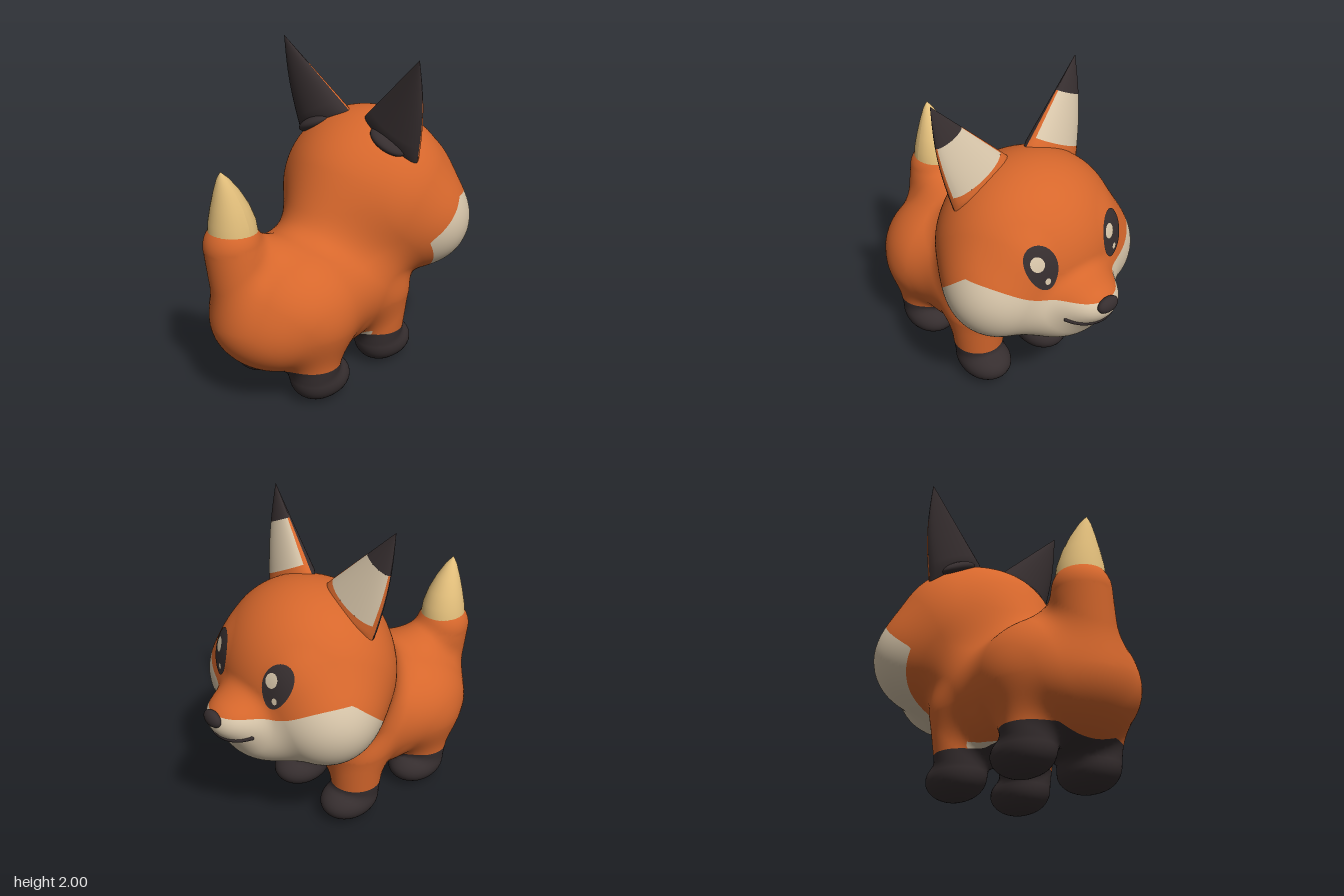
import * as THREE from 'three';

const material = (name, color) => Object.assign(new THREE.MeshStandardMaterial({ color }), { name });
const orange = material('orange fur', 0xd6672c);
const pale = material('pale fur', 0xd8c6aa);
const dark = material('dark fur', 0x362e2f);
const cream = material('cream tail', 0xe4c07c);

// ---- soft body: rounded masses blended into one skin ----
function ellipsoid(x, y, z, rx, ry, rz) {
  const k0 = Math.hypot(x / rx, y / ry, z / rz);
  const k1 = Math.hypot(x / (rx * rx), y / (ry * ry), z / (rz * rz));
  return k1 < 1e-6 ? -Math.min(rx, ry, rz) : k0 * (k0 - 1) / k1;
}
function blend(a, b, k) {
  const h = Math.max(k - Math.abs(a - b), 0) / k;
  return Math.min(a, b) - h * h * k * 0.25;
}
function capsule(x, y, z, a, b, ra, rb) {
  const dx = b[0] - a[0], dy = b[1] - a[1], dz = b[2] - a[2];
  let t = ((x - a[0]) * dx + (y - a[1]) * dy + (z - a[2]) * dz) / (dx * dx + dy * dy + dz * dz);
  t = Math.min(1, Math.max(0, t));
  return Math.hypot(x - a[0] - t * dx, y - a[1] - t * dy, z - a[2] - t * dz) - ra - (rb - ra) * t;
}
function skin(x, y, z) {
  const w = Math.abs(z);
  // torso, chest, rump and belly
  let d = blend(ellipsoid(x + 0.48, y - 0.57, z, 0.46, 0.39, 0.475), ellipsoid(x + 0.04, y - 0.61, z, 0.34, 0.41, 0.435), 0.18);
  d = blend(d, ellipsoid(x + 0.6, y - 0.51, z, 0.375, 0.32, 0.4), 0.03);
  d = blend(d, ellipsoid(x + 0.25, y - 0.46, z, 0.45, 0.275, 0.38), 0.03);
  // tail root, with a slope down to the back
  let tail = capsule(x, y, z, [-0.76, 0.55, -0.04], [-0.815, 1.0, -0.1], 0.2, 0.17);
  tail = blend(tail, capsule(x, y, z, [-0.79, 0.94, -0.09], [-0.58, 0.78, -0.03], 0.155, 0.2), 0.03);
  d = blend(d, tail, 0.08);
  // nape
  d = blend(d, capsule(x, y, z, [0.05, 1.15, 0], [-0.19, 0.8, 0], 0.27, 0.27), 0.1);
  // head, brows, cheeks, jaw and snout
  let h = ellipsoid(x - 0.255, y - 1.05, z, 0.5, 0.55, 0.57);
  h = blend(h, ellipsoid(x - 0.4, y - 1.15, w - 0.2, 0.3, 0.27, 0.28), 0.03);
  h = blend(h, ellipsoid(x - 0.38, y - 0.93, w - 0.3, 0.32, 0.325, 0.34), 0.1);
  h = blend(h, ellipsoid(x - 0.54, y - 0.83, z, 0.32, 0.27, 0.34), 0.09);
  h = blend(h, ellipsoid(x - 0.74, y - 0.92, z, 0.22, 0.15, 0.205), 0.08);
  d = blend(d, h, 0.15);
  // legs with paws
  for (const lx of [0.08, -0.52]) {
    const leg = capsule(x, y, w, [lx, 0.5, 0.25], [lx, 0.16, 0.24], 0.185, 0.15);
    d = blend(d, blend(leg, ellipsoid(x - lx - 0.06, y - 0.12, w - 0.24, 0.19, 0.12, 0.16), 0.03), 0.08);
  }
  return d;
}
function skinNormal(p) {
  const e = 0.002;
  return new THREE.Vector3(
    skin(p.x + e, p.y, p.z) - skin(p.x - e, p.y, p.z),
    skin(p.x, p.y + e, p.z) - skin(p.x, p.y - e, p.z),
    skin(p.x, p.y, p.z + e) - skin(p.x, p.y, p.z - e)).normalize();
}

// ---- fur markings: positive inside the marking ----
const darkMark = p => Math.min(0.25 - p.y, p.x + 0.72);
function paleMark({ x, y, z }) {
  const w = Math.abs(z);
  const top = 0.985 + 0.125 * THREE.MathUtils.smoothstep(w, 0.25, 0.6);
  const face = Math.min(top - y, 0.88 + (x - 0.16) * 0.885 - y, x - 0.16 - (0.88 - y) * 0.58);
  const bib = Math.min(0.2 * (1 - (z / 0.29) ** 2 - ((y - 0.6) / 0.22) ** 2), x - 0.15);
  const belly = Math.min(0.25 + (x + 0.28) * 0.17 - y, -0.07 - x);
  return Math.max(Math.min(face, y - 0.5), bib, belly);
}
// Cuts a polygon along the edge of a marking
function split(poly, mark) {
  const inside = [], outside = [];
  poly.forEach((p, i) => {
    const q = poly[(i + 1) % poly.length], a = mark(p), b = mark(q);
    (a > 0 ? inside : outside).push(p);
    if ((a > 0) !== (b > 0)) {
      const m = p.clone().lerp(q, a / (a - b));
      inside.push(m);
      outside.push(m);
    }
  });
  return [inside, outside];
}

function buildBody(group) {
  const s = 0.022, o = [-1.06, -0.06, -0.71], n = [96, 79, 66];
  const stride = [1, n[0], n[0] * n[1]];
  const val = new Float32Array(n[0] * n[1] * n[2]);
  const each = fn => {
    for (let k = 1; k < n[2] - 1; k++) for (let j = 1; j < n[1] - 1; j++) for (let i = 1; i < n[0] - 1; i++)
      fn(i + j * stride[1] + k * stride[2], i, j, k);
  };
  val.fill(1);
  each((id, i, j, k) => { val[id] = skin(o[0] + i * s, o[1] + j * s, o[2] + k * s); });
  // one skin point for each cell the surface passes through
  const points = new Map();
  const cellPoint = id => {
    if (points.has(id)) return points.get(id);
    const k = Math.floor(id / stride[2]), j = Math.floor(id / stride[1]) % n[1], i = id % n[0];
    const p = new THREE.Vector3(), corner = c => val[id + (c & 1) + (c >> 1 & 1) * stride[1] + (c >> 2) * stride[2]];
    let count = 0;
    for (let c = 0; c < 8; c++) for (const bit of [1, 2, 4]) {
      if (c & bit) continue;
      const a = corner(c), b = corner(c | bit);
      if ((a < 0) === (b < 0)) continue;
      const t = a / (a - b);
      p.x += (c & 1) + (bit === 1 ? t : 0);
      p.y += (c >> 1 & 1) + (bit === 2 ? t : 0);
      p.z += (c >> 2) + (bit === 4 ? t : 0);
      count++;
    }
    p.divideScalar(count).add(new THREE.Vector3(i, j, k)).multiplyScalar(s).add(new THREE.Vector3(...o));
    p.addScaledVector(skinNormal(p), -skin(p.x, p.y, p.z));
    points.set(id, p);
    return p;
  };
  const parts = { coat: [[], [], orange], paleMarkings: [[], [], pale], darkPaws: [[], [], dark] };
  const emit = (poly, [pos, nor]) => {
    for (let i = 1; i + 1 < poly.length; i++) for (const p of [poly[0], poly[i], poly[i + 1]]) {
      pos.push(p.x, p.y, p.z);
      nor.push(...skinNormal(p).toArray());
    }
  };
  each(id => {
    for (let a = 0; a < 3; a++) {
      const here = val[id] < 0;
      if (here === (val[id + stride[a]] < 0)) continue;
      const u = stride[(a + 1) % 3], v = stride[(a + 2) % 3];
      const q = [id - u - v, id - v, id, id - u].map(cellPoint);
      if (!here) q.reverse();
      for (const tri of [[q[0], q[1], q[2]], [q[0], q[2], q[3]]]) {
        const [paws, rest] = split(tri, darkMark);
        const [light, coat] = split(rest, paleMark);
        emit(paws, parts.darkPaws);
        emit(light, parts.paleMarkings);
        emit(coat, parts.coat);
      }
    }
  });
  for (const [name, [pos, nor, mat]] of Object.entries(parts)) {
    const g = new THREE.BufferGeometry();
    g.setAttribute('position', new THREE.Float32BufferAttribute(pos, 3));
    g.setAttribute('normal', new THREE.Float32BufferAttribute(nor, 3));
    add(group, name, g, mat);
  }
}

function add(group, name, geometry, mat) {
  const mesh = new THREE.Mesh(geometry, mat);
  mesh.name = name;
  group.add(mesh);
}

// Point on the face, found from the front
function onFace(y, z, lift) {
  let x = 1.1;
  for (let i = 0; i < 80; i++) x -= skin(x, y, z) * 0.7;
  const p = new THREE.Vector3(x, y, z);
  return p.addScaledVector(skinNormal(p), lift);
}
// Thin oval laid on the face; egg makes it wider at the top
function facePlate(group, name, y, z, rz, ry, tilt, egg, lift, mat) {
  const g = new THREE.RingGeometry(0, 1, 40, 6), pos = g.attributes.position;
  for (let i = 0; i < pos.count; i++) {
    const u = pos.getX(i) * rz * (1 + egg * pos.getY(i)), v = pos.getY(i) * ry;
    const p = onFace(y + u * Math.sin(tilt) + v * Math.cos(tilt), z - u * Math.cos(tilt) + v * Math.sin(tilt), lift);
    pos.setXYZ(i, p.x, p.y, p.z);
    g.attributes.normal.setXYZ(i, ...skinNormal(p).toArray());
  }
  add(group, name, g, mat);
}

// Patch of an ear: a runs round the section, t from root to tip
function earPatch(group, name, side, a0, a1, t0, t1, mat) {
  const na = 14, nt = 12, pos = [], index = [];
  for (let j = 0; j <= nt; j++) for (let i = 0; i <= na; i++) {
    const a = a0 + (a1 - a0) * i / na, t = t0 + (t1 - t0) * j / nt, c = (1 + Math.cos(a)) / 2;
    const inner = [1.6 + 0.4 * t, 0.09 + 0.43 * t];
    const outer = [1.41 + 0.59 * t, 0.465 + 0.055 * t + 0.025 * Math.sin(Math.PI * t)];
    const depth = (Math.sin(a) > 0 ? 0.092 : 0.1) * Math.min(1 + 2.5 * t, 1 - t);
    pos.push(0.15 - 0.09 * t + depth * Math.sin(a),
      inner[0] + (outer[0] - inner[0]) * c, side * (inner[1] + (outer[1] - inner[1]) * c));
    if (i < na && j < nt) {
      const q = j * (na + 1) + i, r = q + na + 1;
      index.push(...(side > 0 ? [q, q + 1, r + 1, q, r + 1, r] : [q, r + 1, q + 1, q, r, r + 1]));
    }
  }
  const g = new THREE.BufferGeometry();
  g.setAttribute('position', new THREE.Float32BufferAttribute(pos, 3));
  g.setIndex(index);
  g.computeVertexNormals();
  add(group, name, g, mat);
}

function ball(group, name, center, radii, mat, tilt = 0) {
  add(group, name, new THREE.SphereGeometry(1, 28, 18).scale(...radii).rotateX(tilt).translate(...center), mat);
}

export function createModel() {
  const model = new THREE.Group();
  model.name = 'fox';
  buildBody(model);

  // ears and eyes
  for (const side of [1, -1]) {
    const ear = new THREE.Group();
    ear.name = side > 0 ? 'leftEar' : 'rightEar';
    const PI = Math.PI, rim = 0.3;
    earPatch(ear, 'earBack', side, PI, 2 * PI, -0.2, 1, dark);
    earPatch(ear, 'earTip', side, 0, PI, 0.6, 1, dark);
    earPatch(ear, 'earRoot', side, 0, PI, -0.2, 0.08, orange);
    earPatch(ear, 'outerRim', side, 0, rim, 0.08, 0.6, orange);
    earPatch(ear, 'innerRim', side, PI - rim, PI, 0.08, 0.6, orange);
    earPatch(ear, 'earInside', side, rim, PI - rim, 0.08, 0.6, pale);
    ball(ear, 'earBackRoot', [0.09, 1.475, side * 0.29], [0.09, 0.045, 0.13], dark, side * 0.45);
    model.add(ear);
    facePlate(model, 'eye', 1.18, side * 0.263, 0.09, 0.132, side * 0.17, 0.15, 0.005, dark);
    facePlate(model, 'eyeShine', 1.215, side * 0.262 + 0.028, 0.038, 0.043, 0, 0, 0.009, pale);
    facePlate(model, 'eyeGlint', 1.103, side * 0.257 - 0.013, 0.017, 0.02, 0, 0, 0.009, pale);
  }

  // nose and mouth
  ball(model, 'nose', [0.95, 0.96, 0], [0.035, 0.05, 0.073], dark);
  const smile = [];
  for (let i = -8; i <= 8; i++) smile.push(onFace(0.832 + 0.038 * Math.abs(i / 8) ** 3, i * 0.0245, -0.003));
  add(model, 'mouth', new THREE.TubeGeometry(new THREE.CatmullRomCurve3(smile), 48, 0.013, 8), dark);
  for (const end of [smile[0], smile[16]]) ball(model, 'mouthCorner', end.toArray(), [0.013, 0.013, 0.013], dark);

  // tail tip, leaning back
  const profile = [[0.143, 0], [0.135, 0.07], [0.11, 0.16], [0.075, 0.25], [0.035, 0.33], [0, 0.375]];
  const tip = new THREE.LatheGeometry(profile.map(p => new THREE.Vector2(...p)), 32);
  const pos = tip.attributes.position;
  for (let i = 0; i < pos.count; i++) pos.setX(i, pos.getX(i) - 0.5 * pos.getY(i) ** 2);
  tip.computeVertexNormals();
  add(model, 'tailTip', tip.translate(-0.81, 1.085, -0.1), cream);
  return model;
}
